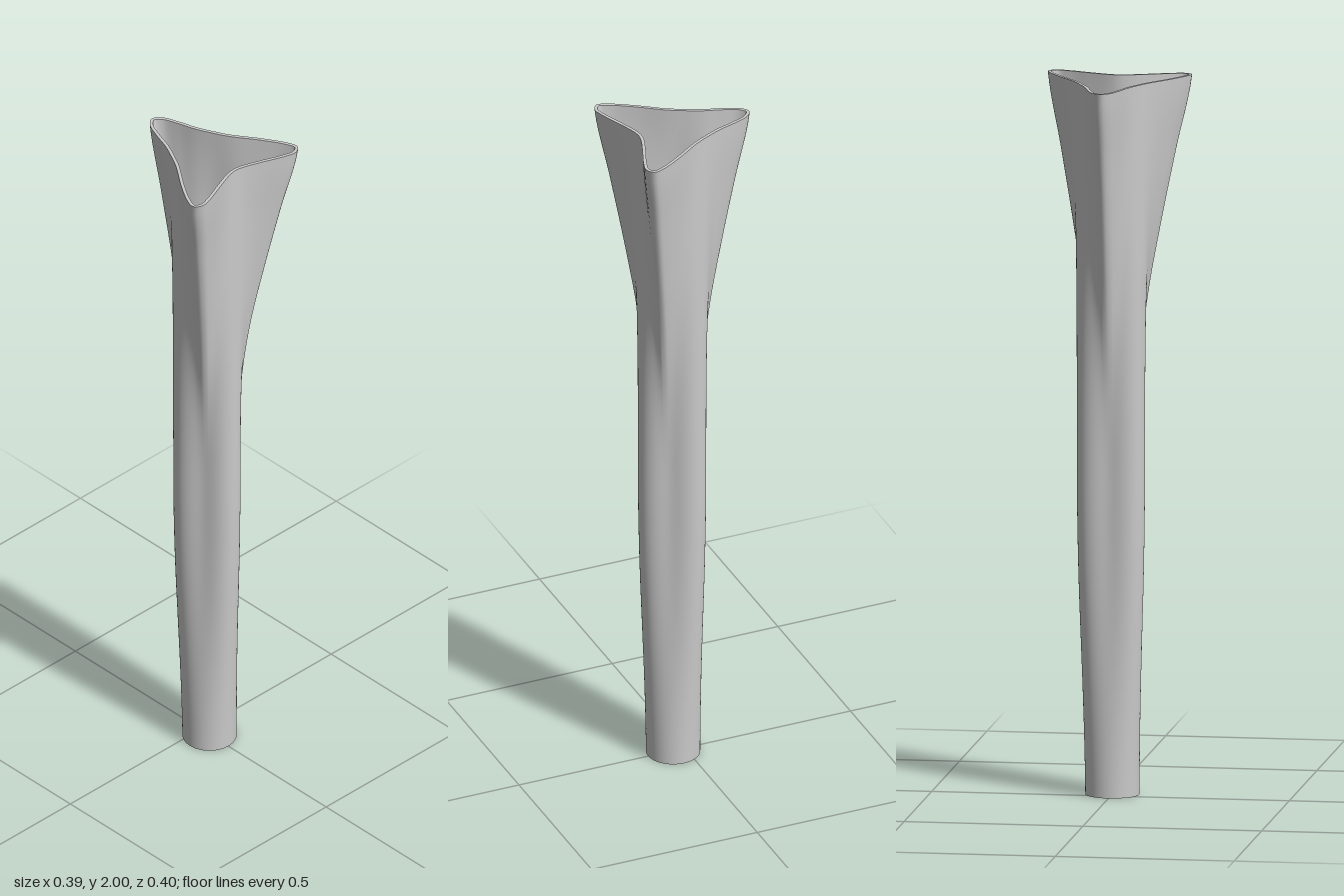
import * as THREE from 'three';

const N = 144, ROWS = 60, HEIGHT = 2, WALL = 0.009, CX = 0.035;

// Half of the three-pointed rim outline (x, z), mirrored to close it
const half = [[0.139, 0], [0.143, 0.025], [0.162, 0.079], [0.186, 0.141], [0.194, 0.178], [0.178, 0.201],
  [0.145, 0.192], [0.082, 0.155], [0.01, 0.105], [-0.029, 0.084], [-0.079, 0.061], [-0.132, 0.044],
  [-0.178, 0.024], [-0.195, 0]];
const mirrored = half.slice(1, -1).reverse().map(([x, z]) => [x, -z]);
const outline = new THREE.CatmullRomCurve3(
  [...half, ...mirrored].map(([x, z]) => new THREE.Vector3(x - CX, 0, z)), true);
outline.arcLengthDivisions = 800;
const rimPoints = outline.getSpacedPoints(N).slice(0, N);

// Blend at equal height steps: x = round to soft triangle, y = triangle to star
const blend = new THREE.SplineCurve([[0, 0], [0.2, 0], [0.5, 0], [0.8, 0], [0.97, 0], [1, 0.005],
  [1, 0.06], [1, 0.21], [1, 0.45], [1, 0.72], [1, 1]].map(p => new THREE.Vector2(...p)));

// Closed cross-section at height y, moved inward by inset
function section(y, inset = 0) {
  const w = blend.getPoint(y / HEIGHT);
  const pts = rimPoints.map(p => {
    const a = Math.atan2(p.z, p.x);
    const tri = 0.088 + 0.014 * Math.cos(3 * a);
    const r = THREE.MathUtils.lerp(0.075, tri, w.x);
    const star = Math.hypot(p.x, p.z);
    const R = THREE.MathUtils.lerp(r, star, w.y);
    return new THREE.Vector2(R * Math.cos(a), R * Math.sin(a));
  });
  return pts.map((p, i) => {
    const d = pts[(i + 1) % N].clone().sub(pts[(i + N - 1) % N]).normalize();
    return new THREE.Vector3(CX + p.x - d.y * inset, y, p.y + d.x * inset);
  });
}

// Smooth skin through a list of closed rings
function skin(name, rings, material) {
  const index = [];
  for (let j = 0; j < rings.length - 1; j++) {
    for (let i = 0; i < N; i++) {
      const k = (i + 1) % N;
      const a = j * N + i, b = a + N, c = j * N + k, d = c + N;
      index.push(a, b, c, c, b, d);
    }
  }
  const geometry = new THREE.BufferGeometry().setFromPoints(rings.flat());
  geometry.setIndex(index);
  geometry.computeVertexNormals();
  const mesh = new THREE.Mesh(geometry, material);
  mesh.name = name;
  return mesh;
}

function disc(name, radius, y, up, material) {
  const mesh = new THREE.Mesh(new THREE.CircleGeometry(radius, 72), material);
  mesh.rotation.x = up ? -Math.PI / 2 : Math.PI / 2;
  mesh.position.set(CX, y, 0);
  mesh.name = name;
  return mesh;
}

export function createModel() {
  const group = new THREE.Group();
  group.name = 'vase';
  const material = new THREE.MeshStandardMaterial({ color: 0xcccccc });

  const outer = [], inner = [];
  for (let j = 0; j <= ROWS; j++) {
    const t = j / ROWS;
    outer.push(section(HEIGHT * t));
    inner.push(section(HEIGHT - (HEIGHT - WALL) * t, WALL));
  }

  group.add(
    skin('outerWall', outer, material),
    skin('rim', [outer[ROWS], inner[0]], material),
    skin('innerWall', inner, material),
    disc('innerFloor', 0.0665, WALL, true, material),
    disc('base', 0.075, 0, false, material));
  return group;
}
